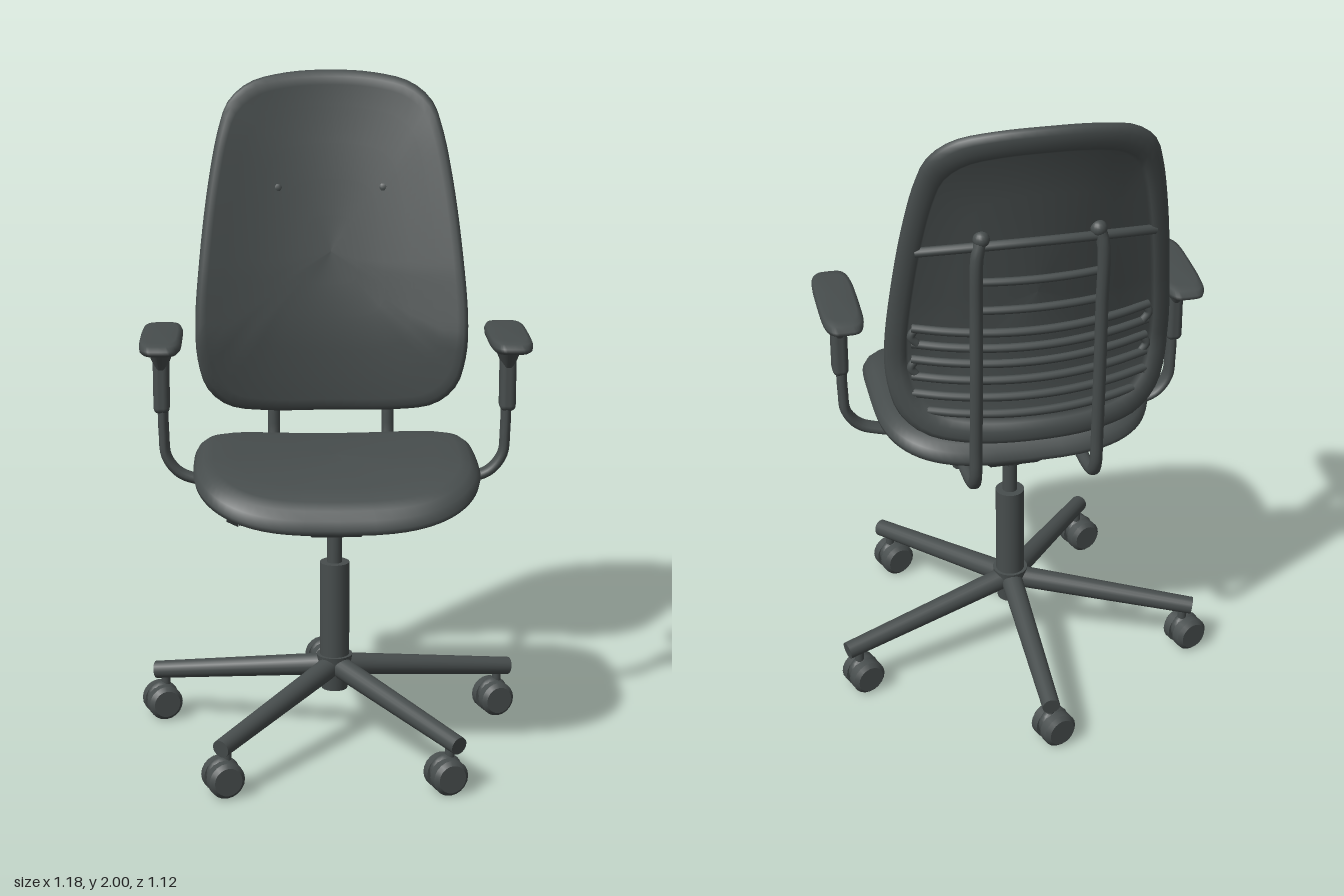
import * as THREE from 'three';
import { RoundedBoxGeometry } from 'three/addons/geometries/RoundedBoxGeometry.js';

const V = (x, y, z) => new THREE.Vector3(x, y, z);

// Padded shell: an outline swept through [scale, depth] rings; place() bends it into position
function padded(outline, rings, place) {
  const n = outline.length, pos = [], idx = [];
  const c = outline.reduce((s, p) => s.add(p), new THREE.Vector2()).divideScalar(n);
  for (const [s, d] of rings)
    for (const p of outline) pos.push(...place(c.x + (p.x - c.x) * s, c.y + (p.y - c.y) * s, d));
  for (let i = 0; i < rings.length - 1; i++)
    for (let j = 0; j < n; j++) {
      const a = i * n + j, b = i * n + (j + 1) % n;
      idx.push(a, a + n, b + n, a, b + n, b);
    }
  const g = new THREE.BufferGeometry();
  g.setAttribute('position', new THREE.Float32BufferAttribute(pos, 3));
  g.setIndex(idx);
  g.computeVertexNormals();
  return g;
}

// Rounded rectangle as a superellipse
function superellipse(hw, hl, e, cy, n = 72) {
  return Array.from({ length: n }, (_, i) => {
    const t = i / n * Math.PI * 2, c = Math.cos(t), s = Math.sin(t);
    return new THREE.Vector2(hw * Math.sign(c) * Math.abs(c) ** (2 / e),
      cy + hl * Math.sign(s) * Math.abs(s) ** (2 / e));
  });
}

// Backrest centre line: depth at a given height
const spine = [[0.95, -0.285], [1.2, -0.277], [1.4, -0.31], [1.6, -0.35], [1.8, -0.39], [1.9, -0.413], [2.01, -0.425]];
function backZ(x, y) {
  let i = 0;
  while (i < spine.length - 2 && y > spine[i + 1][0]) i++;
  const [y0, z0] = spine[i], [y1, z1] = spine[i + 1];
  return z0 + (z1 - z0) * (y - y0) / (y1 - y0) + 0.55 * x * x;
}

// Seat surface: slightly dished, falling away at front and rear
function seatY(x, z) {
  const f = Math.max(0, (z - 0.1) / 0.415), r = Math.max(0, (0.1 - z) / 0.345);
  return 0.924 + 0.12 * x * x - 0.075 * f ** 3 - 0.03 * r ** 3;
}

export function createModel() {
  const model = new THREE.Group();
  const chair = new THREE.Group();
  chair.name = 'officeChair';
  chair.position.x = 0.012;
  model.add(chair);
  const grey = new THREE.MeshStandardMaterial({ color: 0x474d4d });
  grey.name = 'charcoal grey';

  const add = (name, geo, parent = chair) => {
    const m = new THREE.Mesh(geo, grey);
    m.name = name;
    parent.add(m);
    return m;
  };
  const rod = (name, a, b, r1, r2 = r1, parent = chair) => {
    const m = add(name, new THREE.CylinderGeometry(r2, r1, a.distanceTo(b), 20), parent);
    m.position.copy(a).add(b).multiplyScalar(0.5);
    m.quaternion.setFromUnitVectors(V(0, 1, 0), b.clone().sub(a).normalize());
    return m;
  };
  const tube = (name, pts, r, parent = chair) => {
    const curve = new THREE.CatmullRomCurve3(pts, false, 'centripetal');
    return add(name, new THREE.TubeGeometry(curve, 40, r, 12), parent);
  };
  const ball = (name, p, r, parent = chair) => {
    const m = add(name, new THREE.SphereGeometry(r, 16, 12), parent);
    m.position.copy(p);
    return m;
  };

  // Seat cushion with a rolled rim and hollow underside
  const seatRings = [[0, 0], [0.4, 0], [0.7, 0], [0.86, -0.002], [0.93, -0.01], [0.975, -0.026], [1, -0.047],
    [0.992, -0.062], [0.96, -0.073], [0.91, -0.072], [0.87, -0.052], [0.5, -0.042], [0, -0.042]];
  add('seat', padded(superellipse(0.42, 0.381, 3.5, -0.135), seatRings,
    (u, v, d) => [u, seatY(u, -v) + d, -v]));

  // Backrest: tapered outline, wrapped forward at the sides
  const half = [[0.2, 0.955], [0.32, 0.98], [0.385, 1.04], [0.413, 1.13], [0.42, 1.25], [0.405, 1.45],
    [0.377, 1.67], [0.345, 1.83], [0.315, 1.91], [0.25, 1.965], [0.14, 1.992]];
  const loop = [[0, 0.95], ...half, [0, 2], ...half.slice().reverse().map(([x, y]) => [-x, y])];
  const outline = new THREE.CatmullRomCurve3(loop.map(([x, y]) => V(x, y, 0)), true, 'centripetal')
    .getSpacedPoints(96).slice(0, 96).map(p => new THREE.Vector2(p.x, p.y));
  const backRings = [[0, 0], [0.2, 0], [0.4, 0], [0.6, 0], [0.8, 0], [0.92, 0], [0.965, -0.003], [0.99, -0.013],
    [1, -0.025], [0.99, -0.038], [0.96, -0.046], [0.91, -0.045], [0.865, -0.036], [0.845, -0.02],
    [0.6, -0.018], [0.3, -0.018], [0, -0.018]];
  add('backrest', padded(outline, backRings, (x, y, d) => [x, y, backZ(x, y) + d]));

  // Ribs that follow the rear of the backrest
  const rib = (name, w, y, r, dy = 0) => tube(name, Array.from({ length: 9 }, (_, i) => {
    const t = i / 4 - 1;
    return V(t * w, y + dy * t * t, backZ(t * w, y) - 0.025);
  }), r);
  rib('upperCrossRib', 0.34, 1.63, 0.014, -0.03);
  rib('middleRib', 0.18, 1.5, 0.012);
  rib('middleRib', 0.18, 1.4, 0.012);
  for (let i = 0; i < 6; i++) rib('lumbarRib', 0.345 - (i === 5 ? 0.04 : 0), 1.32 - i * 0.055, 0.013, 0.012);
  for (const s of [-1, 1])
    for (const y of [1.2925, 1.1825, 1.0725])
      tube('ribLoopEnd', [-0.0275, 0, 0.0275].map(h =>
        V(s * (h ? 0.33 : 0.348), y + h + 0.012, backZ(0.34, y) - 0.025)), 0.012);

  for (const s of [-1, 1]) {
    // Back upright running down and forward under the seat
    tube('backUpright', [V(s * 0.165, 1.645, -0.365), V(s * 0.178, 1.6, -0.372), V(s * 0.18, 1.4, -0.36),
      V(s * 0.18, 1.2, -0.352), V(s * 0.18, 0.95, -0.336), V(s * 0.18, 0.86, -0.328), V(s * 0.18, 0.82, -0.305),
      V(s * 0.18, 0.8, -0.26), V(s * 0.18, 0.785, -0.15), V(s * 0.18, 0.785, 0)], 0.019);
    ball('uprightCap', V(s * 0.165, 1.645, -0.365), 0.024);

    // Seat rail with a pointed end and mounts to the cushion
    rod('seatRail', V(s * 0.19, 0.785, -0.13), V(s * 0.19, 0.785, 0.39), 0.024);
    rod('railTip', V(s * 0.19, 0.785, 0.39), V(s * 0.19, 0.785, 0.425), 0.024, 0.008);
    for (const z of [-0.08, 0.3]) rod('seatMount', V(s * 0.19, 0.79, z), V(s * 0.19, 0.885, z), 0.022);

    // Armrest: flat bent tube, sleeve, flared bracket and pad
    const arm = new THREE.Group();
    arm.name = s > 0 ? 'leftArmrest' : 'rightArmrest';
    arm.position.z = 0.052;
    chair.add(arm);
    tube('armTube', [V(s * 0.17, 0.785, 0), V(s * 0.28, 0.803, 0), V(s * 0.4, 0.826, 0), V(s * 0.465, 0.85, 0),
      V(s * 0.503, 0.9, 0), V(s * 0.51, 0.97, 0), V(s * 0.512, 1.1, 0)], 0.016, arm).scale.z = 1.8;
    const sleeve = add('armSleeve', new RoundedBoxGeometry(0.048, 0.19, 0.066, 3, 0.018), arm);
    sleeve.position.set(s * 0.515, 1.13, 0);
    const flare = add('armBracket', new THREE.CylinderGeometry(0.1, 0.036, 0.075, 28), arm);
    flare.position.set(s * 0.515, 1.208, 0);
    flare.scale.x = 0.48;
    const padRings = [[0, 0], [0.75, 0], [0.92, -0.004], [1, -0.016], [0.98, -0.028], [0.88, -0.036], [0, -0.036]];
    add('armPad', padded(superellipse(0.062, 0.193, 4, -0.018, 48), padRings,
      (u, v, d) => [s * 0.512 + u, 1.28 + d, -v]), arm);
  }

  // Tilt mechanism under the seat
  for (const z of [0.052, 0.22]) {
    const beam = add('crossBeam', new RoundedBoxGeometry(0.46, 0.04, 0.06, 2, 0.012));
    beam.position.set(0, 0.785, z);
  }
  const plate = add('mechanismPlate', new RoundedBoxGeometry(0.25, 0.045, 0.36, 2, 0.012));
  plate.position.set(0, 0.765, 0.085);
  const bowl = new THREE.CylinderGeometry(0.5 * Math.SQRT2, 0.31 * Math.SQRT2, 1, 4).rotateY(Math.PI / 4);
  bowl.scale(0.235, 0.07, 0.35);
  const housing = add('mechanismHousing', bowl.toNonIndexed());
  housing.geometry.computeVertexNormals();
  housing.position.set(0, 0.72, 0.085);
  rod('columnSocket', V(0, 0.67, 0.037), V(0, 0.72, 0.037), 0.045, 0.06);

  // Height lever on the right
  tube('lever', [V(-0.12, 0.78, 0.12), V(-0.18, 0.775, 0.12), V(-0.2, 0.742, 0.12), V(-0.3, 0.732, 0.12)], 0.008);
  rod('leverKnob', V(-0.29, 0.733, 0.12), V(-0.325, 0.735, 0.12), 0.034, 0.02);
  rod('leverKnobNeck', V(-0.265, 0.733, 0.12), V(-0.29, 0.733, 0.12), 0.01, 0.034);

  // Gas column
  rod('columnOuter', V(0, 0.2, 0.037), V(0, 0.56, 0.037), 0.045);
  rod('columnInner', V(0, 0.55, 0.037), V(0, 0.7, 0.037), 0.023);
  rod('hub', V(0, 0.155, 0.037), V(0, 0.265, 0.037), 0.04, 0.055);

  // Five-star base with twin-wheel casters
  for (let i = 0; i < 5; i++) {
    const a = i / 5 * Math.PI * 2, dx = Math.sin(a), dz = -Math.cos(a);
    const at = (r, y) => V(dx * r, y, 0.037 + dz * r);
    rod('baseLeg', at(0, 0.232), at(0.585, 0.15), 0.034, 0.027);
    const caster = new THREE.Group();
    caster.name = 'caster';
    caster.position.copy(at(0.55, 0)).add(V(-0.015, 0, 0));
    caster.rotation.y = 0.35;
    chair.add(caster);
    rod('casterStem', V(0.012, 0.07, 0), V(0.012, 0.15, 0), 0.014, 0.014, caster);
    ball('casterHood', V(0, 0.065, 0), 0.05, caster).scale.set(1, 1, 0.6);
    for (const s of [-1, 1]) {
      rod('wheel', V(0, 0.054, s * 0.01), V(0, 0.054, s * 0.038), 0.054, 0.054, caster);
      rod('wheelRim', V(0, 0.054, s * 0.038), V(0, 0.054, s * 0.05), 0.054, 0.042, caster);
    }
  }
  return model;
}
